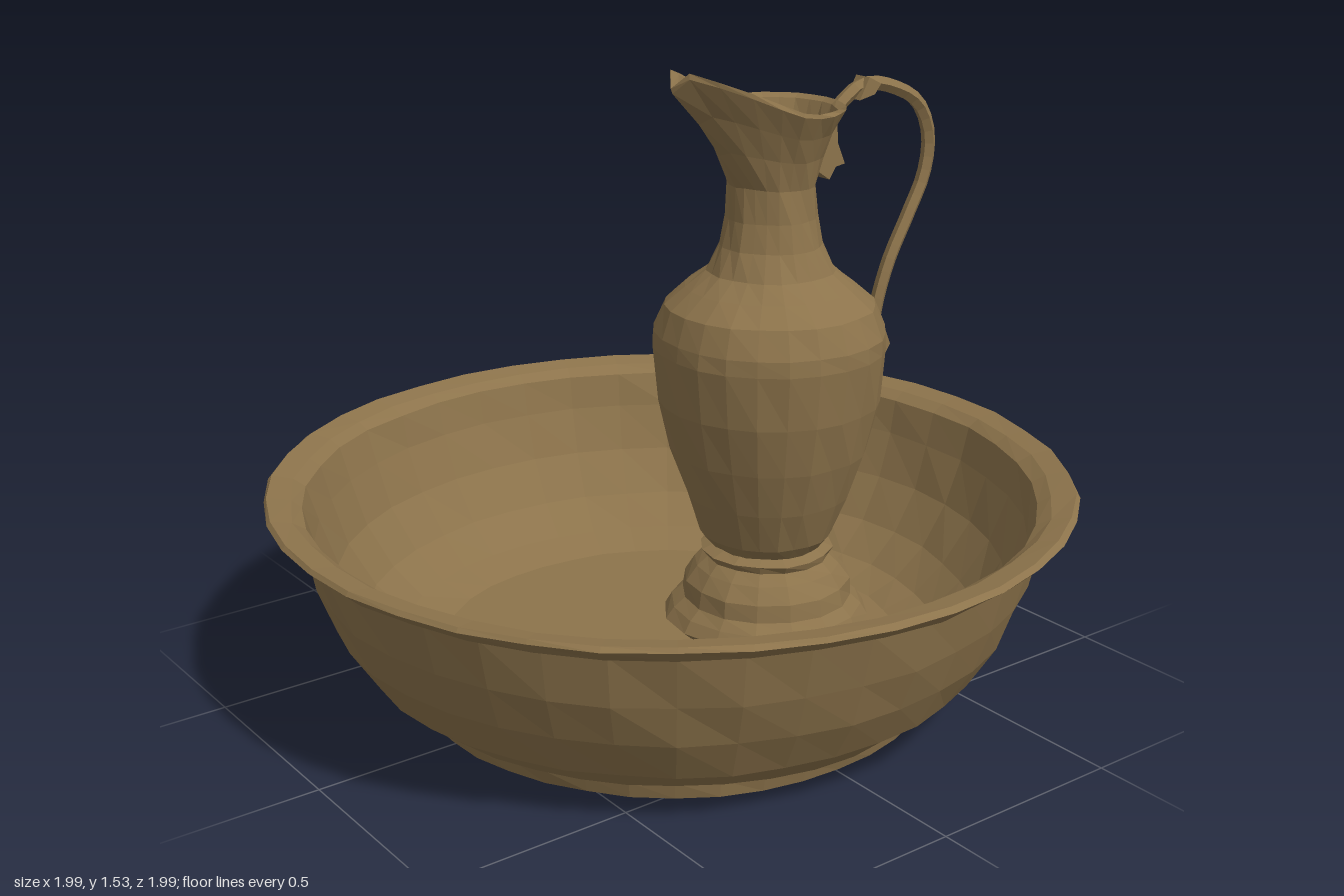
import * as THREE from 'three';

const bronze = new THREE.MeshStandardMaterial({ color: 0x8c734b, flatShading: true, side: THREE.DoubleSide });
bronze.name = 'bronze';

function lathe(points, segments) {
  return new THREE.LatheGeometry(points.map(([r, y]) => new THREE.Vector2(r, y)), segments);
}

// Repeatable value from 0 to 1 for a position, equal on both sides of a seam
function hash(x, y, z) {
  const s = Math.sin(Math.round(x * 500) * 12.9 + Math.round(y * 500) * 78.2 + Math.round(z * 500) * 37.7) * 43758.5;
  return s - Math.floor(s);
}

// Slight hand-beaten unevenness: draws points towards the axis
function dent(geo, amount) {
  const p = geo.attributes.position;
  for (let i = 0; i < p.count; i++) {
    const x = p.getX(i), y = p.getY(i), z = p.getZ(i), r = Math.hypot(x, z);
    if (r < 0.01) continue;
    const k = 1 - amount * hash(x, y, z) / r;
    p.setXYZ(i, x * k, y, z * k);
  }
}

function add(group, name, geo) {
  geo.computeVertexNormals();
  const mesh = new THREE.Mesh(geo, bronze);
  mesh.name = name;
  group.add(mesh);
  return mesh;
}

// Pulls the top of the neck into a pointed, raised pouring lip
function shapeSpout(geo) {
  const p = geo.attributes.position;
  for (let i = 0; i < p.count; i++) {
    const x = p.getX(i), y = p.getY(i), z = p.getZ(i);
    const s = THREE.MathUtils.clamp((y - 1.18) / 0.25, 0, 1);
    if (s === 0) continue;
    const c = Math.max(0, z / Math.hypot(x, z));
    const notch = c > 0.99 ? 0.045 : 0;
    p.setXYZ(i, x * (1 - 0.2 * s * s * c ** 4), y + s * s * (0.115 * c * c - notch), z + 0.135 * s * s * c ** 4);
  }
}

export function createModel() {
  const model = new THREE.Group();
  model.name = 'pitcherAndBasin';

  // Wide basin with a foot ring and flared rim
  const basin = lathe([
    [0, 0.025], [0.61, 0.025], [0.625, 0.008], [0.655, 0.015], [0.668, 0.06], [0.7, 0.07],
    [0.785, 0.14], [0.85, 0.25], [0.89, 0.36], [0.92, 0.49], [0.96, 0.505], [1, 0.54],
    [0.99, 0.55], [0.935, 0.54], [0.905, 0.52], [0.885, 0.43], [0.84, 0.31], [0.77, 0.2],
    [0.69, 0.125], [0.6, 0.09], [0, 0.08],
  ], 40);
  dent(basin, 0.01);
  add(model, 'basin', basin);

  const pitcher = new THREE.Group();
  pitcher.name = 'pitcher';
  pitcher.position.z = -0.31;
  model.add(pitcher);

  // Stepped, flared foot
  const foot = lathe([[0, 0.08], [0.25, 0.08], [0.27, 0.1], [0.25, 0.13], [0.225, 0.155],
    [0.22, 0.2], [0.19, 0.24], [0.165, 0.265], [0.175, 0.285], [0.14, 0.3]], 16);
  dent(foot, 0.008);
  add(pitcher, 'foot', foot);

  // Body, neck and lip, turning over into the hollow inside
  const body = lathe([
    [0.14, 0.29], [0.175, 0.33], [0.215, 0.44], [0.255, 0.56], [0.285, 0.69], [0.3, 0.83],
    [0.297, 0.87], [0.27, 0.94], [0.215, 0.985], [0.165, 1.025], [0.133, 1.09], [0.118, 1.16],
    [0.112, 1.24], [0.13, 1.31], [0.152, 1.37], [0.182, 1.425], [0.178, 1.435], [0.16, 1.425],
    [0.132, 1.36], [0.105, 1.26], [0.102, 1.16], [0.145, 1.03], [0.25, 0.95], [0.28, 0.83],
    [0.23, 0.56], [0.15, 0.34], [0, 0.33],
  ], 24);
  dent(body, 0.008);
  shapeSpout(body);
  add(pitcher, 'body', body);

  // Slender looping handle
  const path = new THREE.CatmullRomCurve3([
    [1.36, -0.15], [1.4, -0.2], [1.455, -0.29], [1.435, -0.4], [1.385, -0.485], [1.3, -0.525],
    [1.2, -0.515], [1.1, -0.465], [0.98, -0.4], [0.86, -0.36], [0.8, -0.355], [0.75, -0.38],
  ].map(([y, z]) => new THREE.Vector3(0, y, z)));
  add(pitcher, 'handle', new THREE.TubeGeometry(path, 30, 0.019, 5));

  // Thin leaf plates: a name, an outline of [z, y] points and a thickness
  const leaves = [
    ['handleMount', [[-0.11, 1.27], [-0.17, 1.23], [-0.19, 1.26], [-0.22, 1.265], [-0.195, 1.32], [-0.19, 1.4], [-0.14, 1.38]], 0.04],
    ['thumbLeaf', [[-0.26, 1.42], [-0.29, 1.475], [-0.33, 1.455], [-0.31, 1.43]], 0.05],
    ['handleTip', [[-0.335, 0.8], [-0.35, 0.755], [-0.38, 0.735], [-0.397, 0.76], [-0.375, 0.81]], 0.04],
  ];
  for (const [name, outline, depth] of leaves) {
    const shape = new THREE.Shape(outline.map(([z, y]) => new THREE.Vector2(-z, y)));
    const geo = new THREE.ExtrudeGeometry(shape, { depth, bevelEnabled: false });
    geo.translate(0, 0, -depth / 2);
    geo.rotateY(Math.PI / 2);
    add(pitcher, name, geo);
  }

  return model;
}
